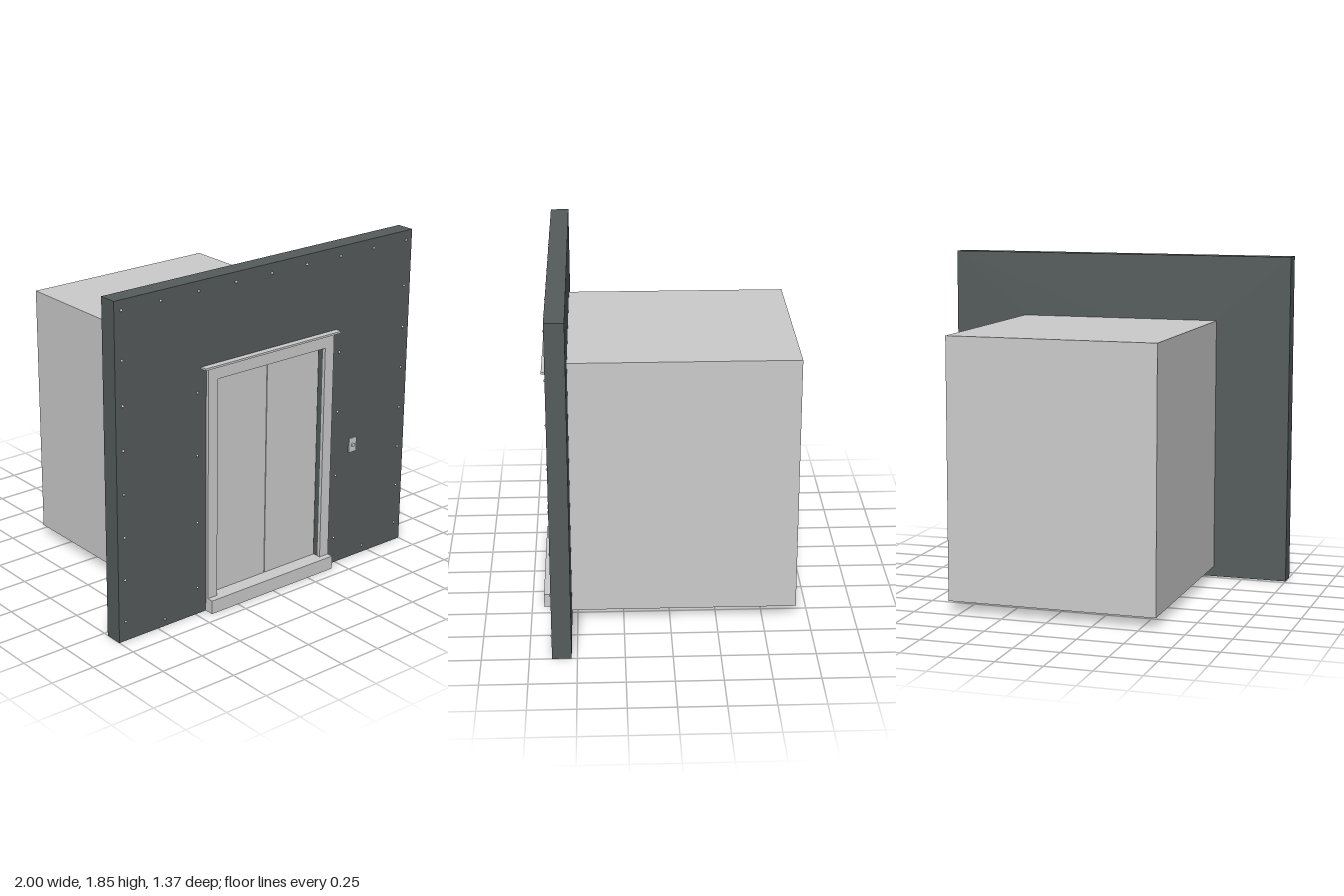
import * as THREE from 'three';

const grey = new THREE.MeshStandardMaterial({ color: 0xcccccc });
const dark = new THREE.MeshStandardMaterial({ color: 0x555b5c });

// Box given by its minimum and maximum corners
function box(name, [x0, y0, z0], [x1, y1, z1], material = grey) {
  const mesh = new THREE.Mesh(new THREE.BoxGeometry(x1 - x0, y1 - y0, z1 - z0), material);
  mesh.position.set((x0 + x1) / 2, (y0 + y1) / 2, (z0 + z1) / 2);
  mesh.name = name;
  return mesh;
}

// Upright plate with a doorway open at the bottom, extruded from z0 to z1
function doorwayPlate(name, w, h, z0, z1, material) {
  const shape = new THREE.Shape([
    [-w, 0], [-0.368, 0], [-0.368, 1.31], [0.368, 1.31],
    [0.368, 0], [w, 0], [w, h], [-w, h],
  ].map(([x, y]) => new THREE.Vector2(x, y)));
  const geometry = new THREE.ExtrudeGeometry(shape, { depth: z1 - z0, bevelEnabled: false });
  const mesh = new THREE.Mesh(geometry, material);
  mesh.position.z = z0;
  mesh.name = name;
  return mesh;
}

export function createModel() {
  const model = new THREE.Group();
  model.name = 'elevator';
  const wallFront = 0.632;

  // Lift shaft and the wall in front of it
  model.add(box('shaft', [-0.577, 0.057, -0.685], [0.577, 1.483, 0.53]));
  model.add(doorwayPlate('wall', 1, 1.85, 0.53, wallFront, dark));
  model.add(box('doorwayBacking', [-0.368, 0, 0.53], [0.368, 1.31, 0.575], dark));

  // Door surround, cornice and sill
  model.add(doorwayPlate('doorFrame', 0.43, 1.38, wallFront, 0.65, grey));
  model.add(box('cornice', [-0.463, 1.38, wallFront], [0.463, 1.391, 0.668]));
  model.add(box('sill', [-0.43, 0, wallFront], [0.43, 0.077, 0.685]));
  model.add(box('threshold', [-0.368, 0, 0.575], [0.368, 0.077, wallFront]));

  // Sliding doors with a thin gap all round
  model.add(box('rightDoor', [-0.362, 0.08, 0.575], [-0.002, 1.304, 0.605]));
  model.add(box('leftDoor', [0.002, 0.08, 0.575], [0.362, 1.304, 0.605]));

  // Call panel with its button
  const panel = new THREE.Group();
  panel.name = 'callPanel';
  panel.add(box('panelPlate', [0.577, 0.648, wallFront], [0.63, 0.73, 0.639]));
  const button = new THREE.Mesh(new THREE.CylinderGeometry(0.011, 0.011, 0.008, 16), grey);
  button.rotation.x = Math.PI / 2;
  button.position.set(0.6035, 0.689, 0.642);
  button.name = 'callButton';
  panel.add(button);
  model.add(panel);

  // Rivets along the wall edges and beside the door
  const spots = [];
  for (let i = -4; i <= 4; i++) spots.push([i * 0.2393, 1.796]);
  for (const side of [-1, 1]) {
    for (let i = 0; i < 7; i++) spots.push([side * 0.957, 0.11 + i * 0.238]);
    for (const y of [0.155, 0.533, 0.912, 1.257]) spots.push([side * 0.487, y]);
    spots.push([side * 0.704, 0.04]);
  }
  const rivets = new THREE.Group();
  rivets.name = 'rivets';
  const domeGeometry = new THREE.SphereGeometry(0.007, 12, 4, 0, Math.PI * 2, 0, Math.PI / 2);
  domeGeometry.rotateX(Math.PI / 2);
  for (const [x, y] of spots) {
    const rivet = new THREE.Mesh(domeGeometry, grey);
    rivet.position.set(x, y, wallFront);
    rivet.name = 'rivet';
    rivets.add(rivet);
  }
  model.add(rivets);

  return model;
}
